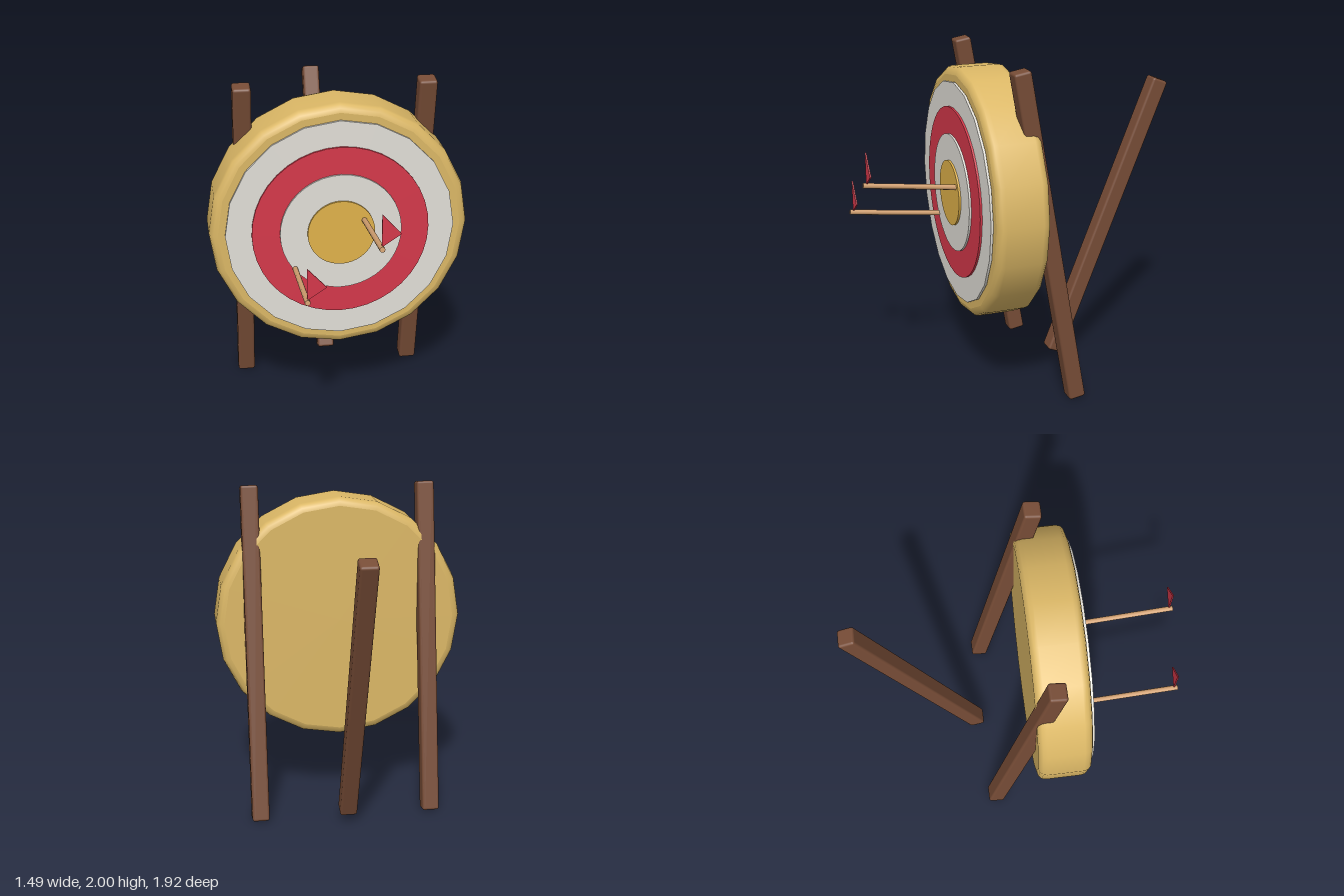
import * as THREE from 'three';
import { RoundedBoxGeometry } from 'three/addons/geometries/RoundedBoxGeometry.js';

const mat = (name, color) => {
  const m = new THREE.MeshStandardMaterial({ color });
  m.name = name;
  return m;
};

export function createModel() {
  const straw = mat('straw', 0xdcb866);
  const white = mat('white', 0xe2dfd8);
  const red = mat('red', 0xd5384a);
  const gold = mat('gold', 0xe0b24a);
  const wood = mat('wood', 0x774c36);
  const shaftWood = mat('shaft wood', 0xd2a070);

  const model = new THREE.Group();
  model.name = 'archeryTarget';
  const add = (parent, name, geometry, material, x = 0, y = 0, z = 0) => {
    const mesh = new THREE.Mesh(geometry, material);
    mesh.name = name;
    mesh.position.set(x, y, z);
    parent.add(mesh);
    return mesh;
  };

  // Easel legs: two leaning forward, one leaning back
  const leg = (name, length, tilt, x, y, z) => {
    add(model, name, new RoundedBoxGeometry(0.104, length, 0.1, 2, 0.015), wood, x, y, z).rotation.x = tilt;
  };
  const lean = THREE.MathUtils.degToRad(10);
  leg('frontLegLeft', 2.015, lean, 0.525, 1, -0.005);
  leg('frontLegRight', 2.015, lean, -0.525, 1, -0.005);
  leg('backLeg', 1.825, THREE.MathUtils.degToRad(-21.5), 0, 0.915, -0.58);

  // Straw butt: rounded drum wall with two flat ends
  const butt = new THREE.Group();
  butt.name = 'strawButt';
  butt.position.set(0, 1.18, 0.213);
  model.add(butt);
  const R = 0.744, H = 0.153, B = 0.048;
  const profile = [];
  for (const side of [-1, 1]) {
    for (let i = 0; i <= 3; i++) {
      const a = (side < 0 ? i - 3 : i) * Math.PI / 6;
      profile.push(new THREE.Vector2(R - B + B * Math.cos(a), side * (H - B) + B * Math.sin(a)));
    }
  }
  add(butt, 'buttWall', new THREE.LatheGeometry(profile, 20), straw).rotation.x = Math.PI / 2;
  add(butt, 'buttFront', new THREE.CircleGeometry(R - B, 20), straw, 0, 0, H);
  add(butt, 'buttBack', new THREE.CircleGeometry(R - B, 20), straw, 0, 0, -H).rotation.y = Math.PI;

  // Scoring rings: stacked thin discs, each a little further forward
  [
    ['outerWhiteRing', 0.656, white, 20],
    ['redRing', 0.507, red, 40],
    ['innerWhiteRing', 0.348, white, 40],
    ['bullseye', 0.193, gold, 40],
  ].forEach(([name, radius, material, sides], i) => {
    const disc = new THREE.CylinderGeometry(radius, radius, 0.014, sides).rotateX(Math.PI / 2);
    add(model, name, disc, material, 0, 1.18, 0.376 + i * 0.012);
  });

  // Arrows: tilted shaft with a flat triangular fletching near the tail
  const flag = new THREE.Shape([[0, 0], [0.105, 0.07], [0, 0.185]].map(([x, y]) => new THREE.Vector2(x, y)));
  const flagGeometry = new THREE.ExtrudeGeometry(flag, { depth: 0.008, bevelEnabled: false });
  [['upperArrow', 0.13, 1.32], ['lowerArrow', -0.265, 1.037]].forEach(([name, x, y]) => {
    const arrow = new THREE.Group();
    arrow.name = name;
    arrow.position.set(x, y, 0.958);
    model.add(arrow);
    const length = 0.6;
    const shaft = new THREE.CylinderGeometry(0.016, 0.016, length, 8).rotateX(Math.PI / 2).translate(0, 0, -length / 2);
    add(arrow, 'shaft', shaft, shaftWood).rotation.x = -0.125;
    add(arrow, 'fletching', flagGeometry, red, 0, 0.006, -0.026);
  });

  return model;
}
